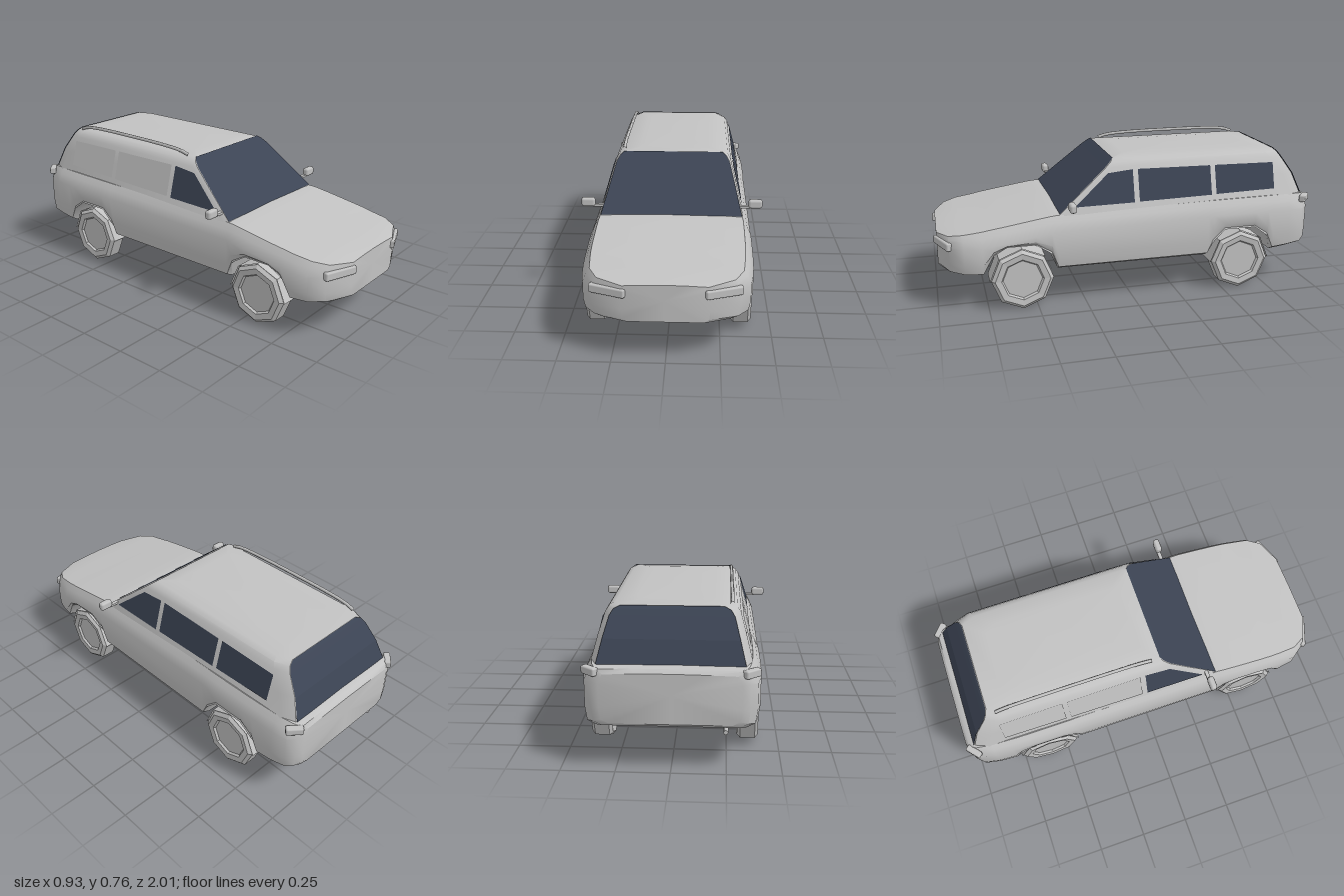
import * as THREE from 'three';
import { toCreasedNormals } from 'three/addons/utils/BufferGeometryUtils.js';
import { RoundedBoxGeometry } from 'three/addons/geometries/RoundedBoxGeometry.js';

// Skin a stack of closed rings and close both ends
function loft(rings, crease) {
  const pos = [];
  const tri = (...pts) => pts.forEach((p) => pos.push(...p));
  const n = rings[0].length;
  for (let i = 0; i < rings.length - 1; i++) {
    for (let j = 0; j < n; j++) {
      const k = (j + 1) % n;
      const a = rings[i][j], b = rings[i][k], c = rings[i + 1][k], d = rings[i + 1][j];
      tri(a, b, c);
      tri(a, c, d);
    }
  }
  const cap = (ring, flip) => {
    const mid = [0, 1, 2].map((ax) => ring.reduce((s, p) => s + p[ax], 0) / n);
    ring.forEach((p, j) => {
      const q = ring[(j + 1) % n];
      if (flip) tri(mid, q, p); else tri(mid, p, q);
    });
  };
  cap(rings[0], true);
  cap(rings[rings.length - 1], false);
  const g = new THREE.BufferGeometry();
  g.setAttribute('position', new THREE.Float32BufferAttribute(pos, 3));
  return toCreasedNormals(g, crease);
}

// Flat sheet from rows of equal point count
function sheet(rows) {
  const pos = [];
  for (let i = 0; i < rows.length - 1; i++) {
    for (let j = 0; j < rows[i].length - 1; j++) {
      const a = rows[i][j], b = rows[i][j + 1], c = rows[i + 1][j + 1], d = rows[i + 1][j];
      [a, b, c, a, c, d].forEach((p) => pos.push(...p));
    }
  }
  const g = new THREE.BufferGeometry();
  g.setAttribute('position', new THREE.Float32BufferAttribute(pos, 3));
  g.computeVertexNormals();
  return g;
}

// Cross-section of the lower body: width, underside, top, shoulder scale
function bodyRing([z, w, yb, yt, s = 1]) {
  const shoulder = yt - 0.08 * s;
  const h = shoulder - yb;
  const k = yb > 0.25 ? 0.985 : 0.87;
  const half = [
    [w * k, yb], [w * 0.975, yb + h * 0.1], [w, yb + h * 0.4], [w, shoulder],
    [w * (1 - 0.05 * s), yt - 0.035 * s], [w * (1 - 0.1 * s), yt - 0.004], [w * 0.5, yt],
  ];
  const right = half.map(([x, y]) => [x, y, z]);
  const left = half.map(([x, y]) => [-x, y, z]).reverse();
  return [[0, yb, z], ...right, [0, yt + 0.002, z], ...left];
}

// Horizontal outline of the cabin with clipped corners
function cabinRing([y, w, zf, zr]) {
  const half = [[w - 0.008, zf], [w, zf - 0.03], [w, zr + 0.07], [w - 0.03, zr]];
  return [
    ...half.map(([x, z]) => [x, y, z]),
    ...half.map(([x, z]) => [-x, y, z]).reverse(),
  ];
}

export function createModel() {
  const car = new THREE.Group();
  const paint = new THREE.MeshStandardMaterial({ color: 0xc2c2c2 });
  paint.name = 'silver grey';
  const facet = paint.clone();
  facet.flatShading = true;
  facet.side = THREE.DoubleSide;
  const glass = new THREE.MeshStandardMaterial({ color: 0x3c4454, side: THREE.DoubleSide });
  glass.name = 'dark glass';

  const add = (name, geo, mat, x = 0, y = 0, z = 0, ry = 0) => {
    const m = new THREE.Mesh(geo, mat);
    m.name = name;
    m.position.set(x, y, z);
    m.rotation.y = ry;
    car.add(m);
    return m;
  };

  // Lower body, with the wheel arches running across the underside
  const stations = [
    [-1.0, 0.315, 0.235, 0.468, 0.6], [-0.985, 0.352, 0.22, 0.487, 0.8],
    [-0.95, 0.385, 0.208, 0.498], [-0.87, 0.4, 0.2, 0.5], [-0.78, 0.403, 0.19, 0.5],
    [-0.743, 0.405, 0.284, 0.5], [-0.67, 0.406, 0.338, 0.499], [-0.5, 0.406, 0.338, 0.497],
    [-0.437, 0.405, 0.273, 0.496], [-0.405, 0.403, 0.19, 0.495], [0.394, 0.403, 0.19, 0.478],
    [0.426, 0.405, 0.284, 0.475], [0.507, 0.406, 0.338, 0.463], [0.65, 0.406, 0.338, 0.44],
    [0.716, 0.404, 0.3, 0.43], [0.77, 0.4, 0.19, 0.42], [0.86, 0.386, 0.192, 0.408, 0.9],
    [0.93, 0.335, 0.198, 0.396, 0.7], [0.985, 0.2, 0.203, 0.384, 0.4],
  ];
  add('lowerBody', loft(stations.map(bodyRing), 0.6), paint);

  // Cabin and roof
  const levels = [
    [0.47, 0.367, 0.382, -0.962], [0.6, 0.333, 0.229, -0.912], [0.69, 0.307, 0.123, -0.852],
    [0.715, 0.29, 0.094, -0.835], [0.728, 0.262, 0.078, -0.824], [0.735, 0.18, 0.0, -0.72],
  ];
  add('cabin', loft(levels.map(cabinRing), 0.6), paint);

  // Windscreen and rear window
  const row = ([y, w, z]) => [[-w, y, z], [w, y, z]];
  add('windscreen', sheet([
    [0.478, 0.36, 0.377], [0.6, 0.325, 0.234], [0.69, 0.298, 0.128],
    [0.716, 0.281, 0.098], [0.73, 0.262, 0.081],
  ].map(row)), glass);
  add('rearWindow', sheet([
    [0.73, 0.232, -0.827], [0.716, 0.262, -0.839], [0.69, 0.279, -0.857],
    [0.6, 0.304, -0.917], [0.495, 0.33, -0.958],
  ].map(row)), glass);

  // Side windows: [z, y] corners as bottom front, bottom back, top back, top front
  const panes = [
    ['frontSideWindow', [0.3, 0.508], [-0.013, 0.512], [-0.013, 0.676], [0.118, 0.664]],
    ['middleSideWindow', [-0.04, 0.514], [-0.434, 0.522], [-0.434, 0.672], [-0.04, 0.676]],
    ['rearSideWindow', [-0.46, 0.524], [-0.79, 0.532], [-0.79, 0.668], [-0.46, 0.672]],
  ];
  for (const side of [1, -1]) {
    panes.forEach(([name, a, b, c, d], i) => {
      const at = ([z, y]) => [side * (0.372 - 0.2727 * (y - 0.47)), y, z];
      const rows = side > 0 ? [[a, b], [d, c]] : [[b, a], [c, d]];
      const mat = side < 0 && i > 0 ? paint : glass;
      add(name, sheet(rows.map((r) => r.map(at))), mat);
    });
  }

  // Roof rail, on one side only
  const rail = new THREE.CatmullRomCurve3([
    [0.035, 0.732], [-0.02, 0.746], [-0.38, 0.757], [-0.73, 0.748], [-0.785, 0.732],
  ].map(([z, y]) => new THREE.Vector3(-0.267, y, z)));
  add('roofRail', new THREE.TubeGeometry(rail, 20, 0.009, 6), paint);

  // Octagonal wheels with dished hubs, and half-round arch liners
  const profile = [
    [0, -0.035], [0.1, -0.035], [0.108, -0.046], [0.14, -0.05], [0.158, -0.035],
    [0.158, 0.035], [0.14, 0.05], [0.108, 0.046], [0.1, 0.035], [0, 0.035],
  ].map(([r, h]) => new THREE.Vector2(r, h));
  const wheelGeo = new THREE.LatheGeometry(profile, 8).rotateZ(Math.PI / 2);
  const linerGeo = new THREE.CylinderGeometry(0.165, 0.165, 0.132, 4, 1, true, 0, Math.PI)
    .rotateZ(Math.PI / 2);

  const mirrorGeo = new RoundedBoxGeometry(0.072, 0.046, 0.036, 1, 0.013);
  const lampGeo = new RoundedBoxGeometry(0.178, 0.042, 0.03, 1, 0.008);
  const tailGeo = new RoundedBoxGeometry(0.085, 0.038, 0.035, 1, 0.008);

  for (const s of [1, -1]) {
    for (const [end, z] of [['front', 0.577], ['rear', -0.592]]) {
      add(end + 'Wheel', wheelGeo, facet, s * 0.35, 0.158, z);
      add(end + 'ArchLiner', linerGeo, facet, s * 0.324, 0.157, z);
    }
    // Door mirrors
    add('mirror', mirrorGeo, paint, s * 0.429, 0.528, 0.325);
    add('mirrorArm', new THREE.BoxGeometry(0.06, 0.012, 0.02), paint, s * 0.375, 0.51, 0.322);
    // Lamps wrapped around the corners
    add('headlight', lampGeo, paint, s * 0.262, 0.343, 0.957, s * 0.36);
    add('tailLight', tailGeo, paint, s * 0.355, 0.47, -0.968, s * -0.7);
  }

  // Exhaust pipe
  add('exhaust', new THREE.CylinderGeometry(0.011, 0.011, 0.07, 8).rotateX(Math.PI / 2),
    paint, -0.245, 0.194, -0.945);

  return car;
}
